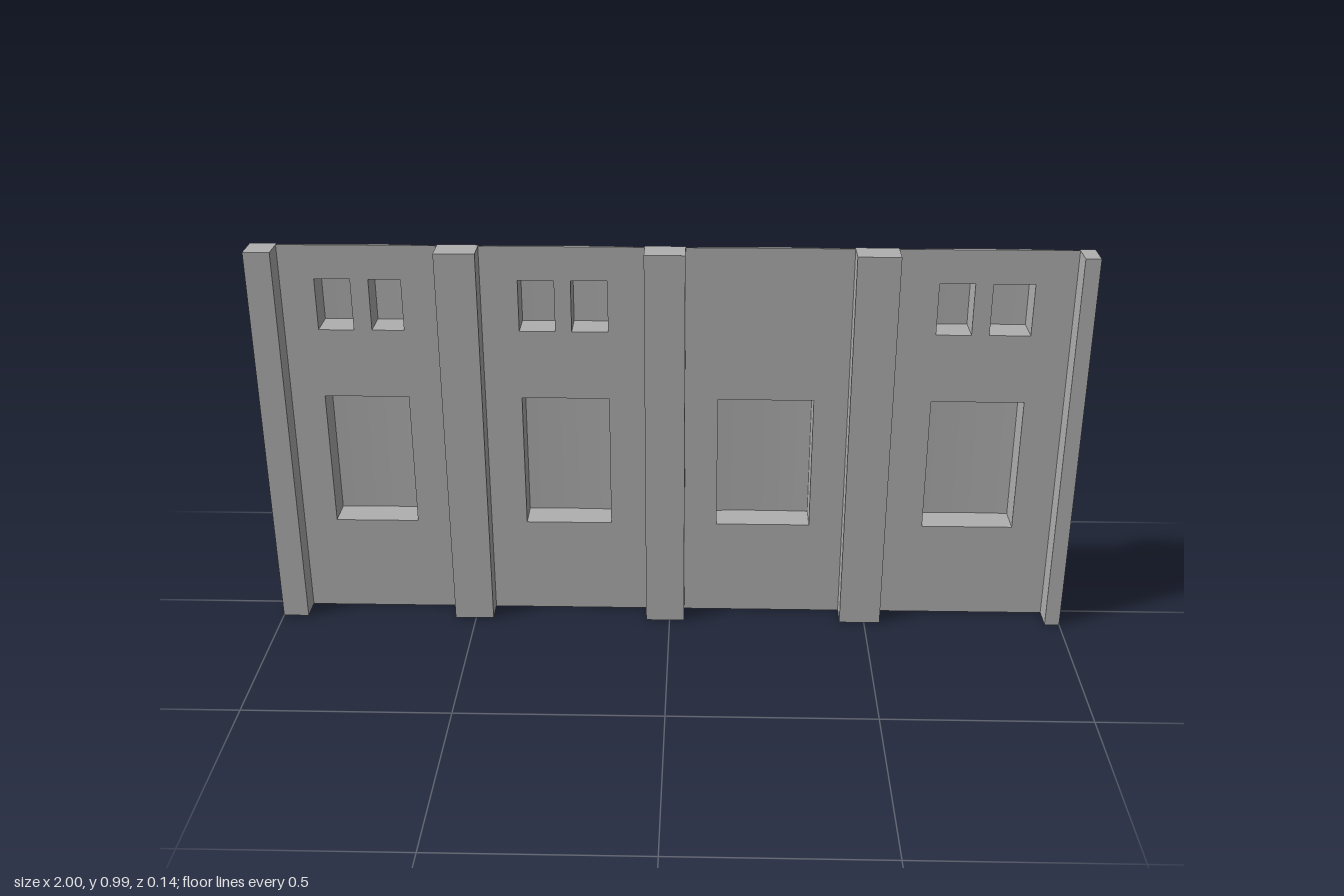
import * as THREE from 'three';

const H = 0.985;         // wall height
const FRONT = 0.01;      // flat front face of the panels
const PILASTER_Z = 0.07; // front of the pilasters
const DEPTH = 0.068;     // recess depth behind the panel back

// Pilaster spans in x; panels fill the bays between them
const pilasters = [[-1, -0.936], [-0.553, -0.455], [-0.06, 0.037], [0.437, 0.54], [0.963, 1]];
const windowY = [0.25, 0.595], ventY = [0.77, 0.9];
// Each bay: x span of the window, then x spans of the two vents
const bays = [
  { window: [-0.853, -0.645], vents: [[-0.853, -0.767], [-0.723, -0.645]] },
  { window: [-0.365, -0.15], vents: [[-0.365, -0.278], [-0.238, -0.15]] },
  { window: [0.118, 0.353], vents: [] },
  { window: [0.64, 0.867], vents: [[0.64, 0.725], [0.768, 0.867]] },
];

// Collects quads (corners counter-clockwise) into one flat-shaded geometry
function quadBuilder() {
  const pos = [];
  return {
    quad(a, b, c, d) { pos.push(...a, ...b, ...c, ...a, ...c, ...d); },
    build() {
      const g = new THREE.BufferGeometry();
      g.setAttribute('position', new THREE.Float32BufferAttribute(pos, 3));
      g.computeVertexNormals();
      return g;
    },
  };
}

// Hollow pilaster, open at the back
function pilasterGeometry(x0, x1) {
  const q = quadBuilder(), f = PILASTER_Z, b = 0;
  q.quad([x0, 0, f], [x1, 0, f], [x1, H, f], [x0, H, f]);
  q.quad([x0, 0, b], [x0, 0, f], [x0, H, f], [x0, H, b]);
  q.quad([x1, 0, f], [x1, 0, b], [x1, H, b], [x1, H, f]);
  q.quad([x0, H, f], [x1, H, f], [x1, H, b], [x0, H, b]);
  q.quad([x0, 0, b], [x1, 0, b], [x1, 0, f], [x0, 0, f]);
  return q.build();
}

// Panel with a flat front, a gently bowed back and recesses, built in vertical strips
function bayGeometries(x0, x1, holes) {
  const wall = quadBuilder(), recess = quadBuilder();
  const bow = (x) => 0.008 * ((2 * x - x0 - x1) / (x1 - x0)) ** 2;
  const cuts = new Set(holes.flatMap((h) => h.x));
  for (let i = 0; i <= 10; i++) cuts.add(x0 + (x1 - x0) * i / 10);
  const xs = [...cuts].sort((a, b) => a - b);

  for (let i = 0; i + 1 < xs.length; i++) {
    const a = xs[i], b = xs[i + 1], mid = (a + b) / 2, za = bow(a), zb = bow(b);
    const open = holes.filter((h) => mid > h.x[0] && mid < h.x[1]).sort((p, r) => p.y[0] - r.y[0]);
    const ys = [0, ...open.flatMap((h) => h.y), H];
    // Solid stretches, front and back
    for (let j = 0; j < ys.length; j += 2) {
      const lo = ys[j], hi = ys[j + 1];
      wall.quad([a, lo, FRONT], [b, lo, FRONT], [b, hi, FRONT], [a, hi, FRONT]);
      wall.quad([b, lo, zb], [a, lo, za], [a, hi, za], [b, hi, zb]);
    }
    // Top and bottom edges
    wall.quad([a, H, FRONT], [b, H, FRONT], [b, H, zb], [a, H, za]);
    wall.quad([a, 0, za], [b, 0, zb], [b, 0, FRONT], [a, 0, FRONT]);
    // Recess floor, head and back
    for (const { y: [lo, hi] } of open) {
      const ra = za - DEPTH, rb = zb - DEPTH;
      recess.quad([a, lo, ra], [b, lo, rb], [b, hi, rb], [a, hi, ra]);
      recess.quad([a, lo, FRONT], [b, lo, FRONT], [b, lo, rb], [a, lo, ra]);
      recess.quad([a, hi, ra], [b, hi, rb], [b, hi, FRONT], [a, hi, FRONT]);
    }
  }
  // Recess cheeks
  for (const { x: [l, r], y: [lo, hi] } of holes) {
    const zl = bow(l) - DEPTH, zr = bow(r) - DEPTH;
    recess.quad([l, lo, FRONT], [l, lo, zl], [l, hi, zl], [l, hi, FRONT]);
    recess.quad([r, lo, zr], [r, lo, FRONT], [r, hi, FRONT], [r, hi, zr]);
  }
  return [wall.build(), recess.build()];
}

export function createModel() {
  const group = new THREE.Group();
  group.name = 'wallSection';
  const grey = new THREE.MeshStandardMaterial({ color: 0xb0b0b0, side: THREE.DoubleSide });
  grey.name = 'plainGrey';
  const add = (geometry, name) => {
    const mesh = new THREE.Mesh(geometry, grey);
    mesh.name = name;
    group.add(mesh);
  };

  pilasters.forEach(([x0, x1], i) => add(pilasterGeometry(x0, x1), `pilaster${i + 1}`));

  bays.forEach((bay, i) => {
    const holes = [{ x: bay.window, y: windowY }, ...bay.vents.map((x) => ({ x, y: ventY }))];
    const [wall, recess] = bayGeometries(pilasters[i][1], pilasters[i + 1][0], holes);
    add(wall, `wallPanel${i + 1}`);
    add(recess, `windowRecesses${i + 1}`);
  });
  return group;
}
